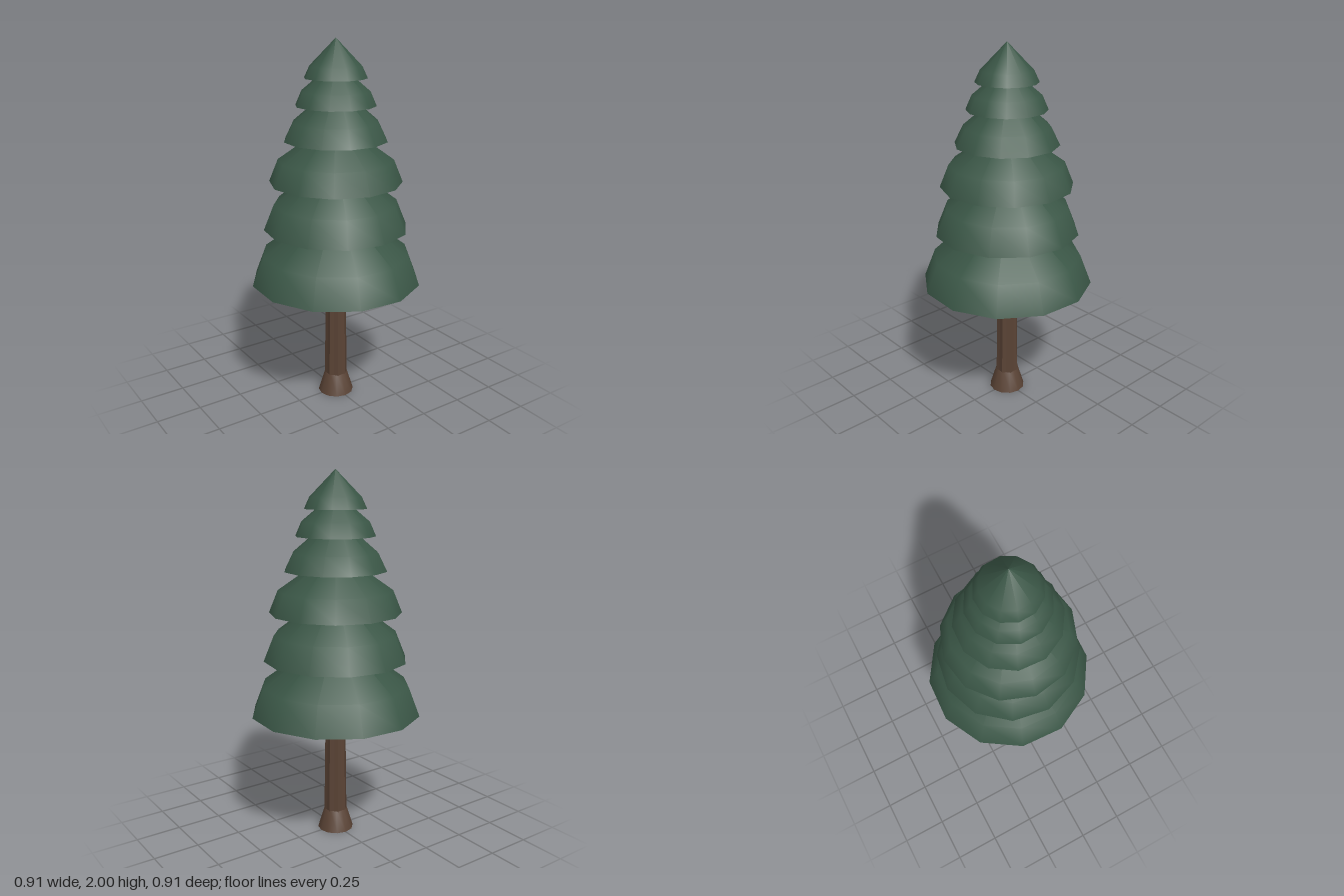
import * as THREE from 'three';

const SIDES = 12;

// Each tier: bottom y, bottom radius, bend y, bend radius, tip y, turn in degrees
const TIERS = [
  [0.70, 0.467, 0.86, 0.405, 1.16, 11.8],
  [1.00, 0.392, 1.14, 0.335, 1.39, 5.1],
  [1.255, 0.357, 1.375, 0.308, 1.59, -5.6],
  [1.48, 0.277, 1.575, 0.23, 1.77, 11.5],
  [1.66, 0.213, 1.735, 0.18, 1.885, -12.5],
  [1.80, 0.165, 1.86, 0.137, 2.00, -12],
];

function lathe(points, sides, turn) {
  return new THREE.LatheGeometry(points.map(([r, y]) => new THREE.Vector2(r, y)), sides, turn);
}

// Tapered stem whose alternate corners are pulled in to form bark grooves
function groovedStem(bottomY, topY, bottomR, topR) {
  const height = topY - bottomY;
  const flutes = 16;
  const geo = new THREE.CylinderGeometry(topR, bottomR, height, flutes, 1, true);
  const pos = geo.attributes.position;
  for (let i = 0; i < pos.count; i++) {
    if ((i % (flutes + 1)) % 2 === 0) {
      pos.setX(i, pos.getX(i) * 0.9);
      pos.setZ(i, pos.getZ(i) * 0.9);
    }
  }
  geo.translate(0, bottomY + height / 2, 0);
  const flat = geo.toNonIndexed();
  flat.computeVertexNormals();
  return flat;
}

export function createModel() {
  const tree = new THREE.Group();
  tree.name = 'pineTree';

  const needles = new THREE.MeshStandardMaterial({ color: 0x3a5646, side: THREE.DoubleSide });
  needles.name = 'needle green';
  const bark = new THREE.MeshStandardMaterial({ color: 0x5a4335, side: THREE.DoubleSide });
  bark.name = 'bark brown';

  const add = (name, geometry, material) => {
    const mesh = new THREE.Mesh(geometry, material);
    mesh.name = name;
    tree.add(mesh);
  };

  // Trunk and its flared, open foot
  add('trunk', groovedStem(0.1, 1.25, 0.065, 0.048), bark);
  add('rootFlare', lathe([[0.1, 0], [0.065, 0.115], [0.05, 0.117]], SIDES, 0), bark);

  // Overlapping skirts of foliage, open underneath
  TIERS.forEach(([y0, r0, y1, r1, tip, degrees], i) => {
    const turn = THREE.MathUtils.degToRad(degrees);
    add(`foliageTier${i + 1}`, lathe([[r0, y0], [r1, y1], [0, tip]], SIDES, turn), needles);
  });

  // Flat underside closing the lowest skirt
  const [y, r, , , , degrees] = TIERS[0];
  const base = new THREE.CircleGeometry(r, SIDES, -THREE.MathUtils.degToRad(degrees));
  base.rotateX(Math.PI / 2);
  base.translate(0, y, 0);
  add('foliageUnderside', base, needles);

  return tree;
}
